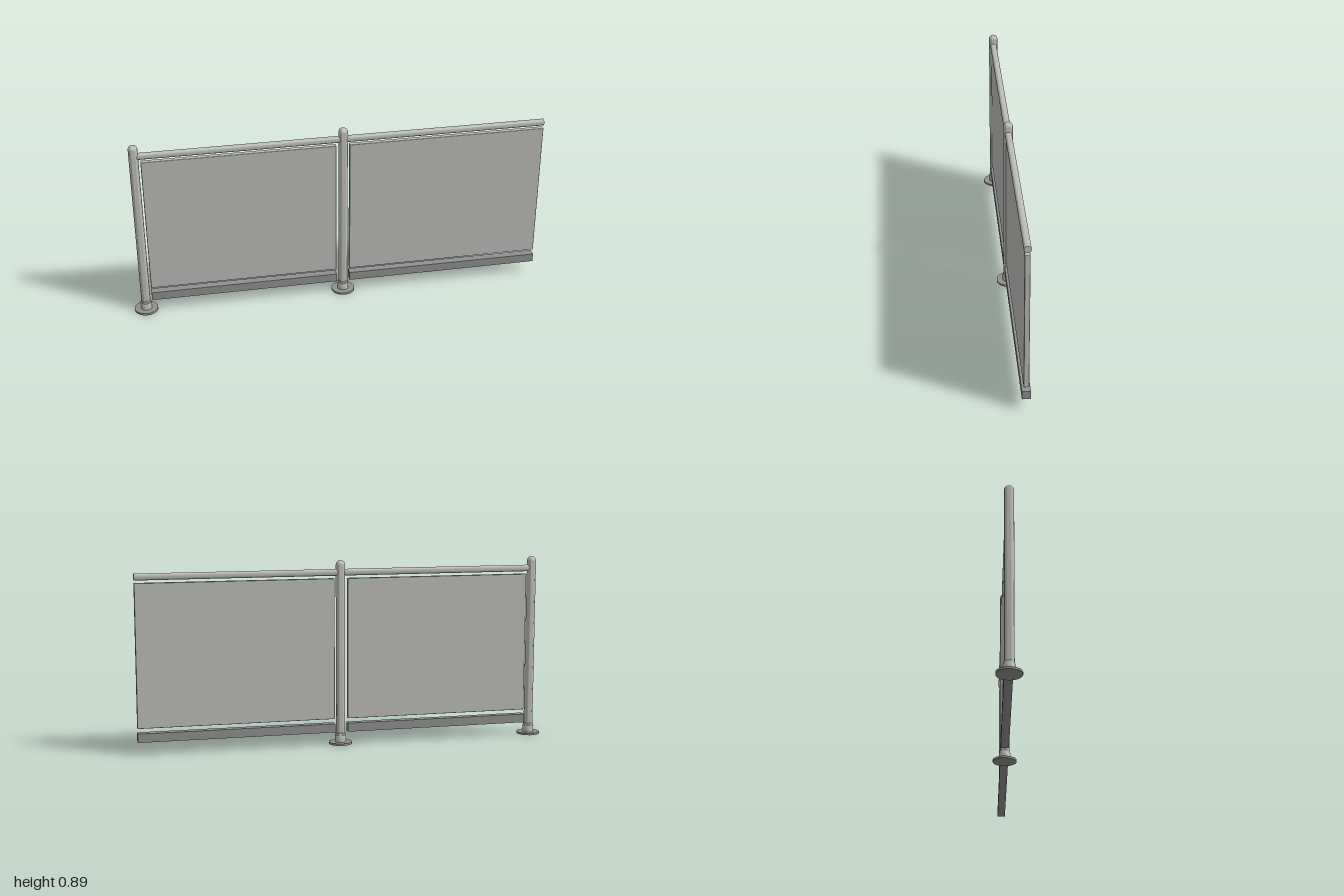
import * as THREE from 'three';
import { RoundedBoxGeometry } from 'three/addons/geometries/RoundedBoxGeometry.js';
import { toCreasedNormals } from 'three/addons/utils/BufferGeometryUtils.js';

export function createModel() {
  const model = new THREE.Group();
  model.name = 'railing';
  const material = (name, color) => new THREE.MeshStandardMaterial({ name, color });
  const steel = material('light steel', 0xbbbbb7);
  const panelGrey = material('panel grey', 0xbbbbb8);
  const darkGrey = material('dark grey', 0x8f8f90);

  const add = (parent, name, geometry, mat, x, y, z = 0) => {
    const mesh = new THREE.Mesh(geometry, mat);
    mesh.name = name;
    mesh.position.set(x, y, z);
    parent.add(mesh);
    return mesh;
  };
  const lathe = (points) => toCreasedNormals(
    new THREE.LatheGeometry(points.map(([r, y]) => new THREE.Vector2(r, y)), 32), 0.6);

  // Round post with a domed top
  const postRadius = 0.022, postTop = 0.89;
  const postProfile = [[0, 0.01], [postRadius, 0.01]];
  for (let i = 0; i <= 8; i++) {
    const a = (i / 8) * Math.PI / 2;
    postProfile.push([i === 8 ? 0 : postRadius * Math.cos(a), postTop - postRadius + postRadius * Math.sin(a)]);
  }
  const postGeometry = lathe(postProfile);

  // Stepped collar around the foot of the post
  const collarGeometry = lathe([
    [0, 0.009], [0.027, 0.009], [0.027, 0.042], [0.026, 0.044], [0.0235, 0.045],
    [0.0235, 0.054], [0.0215, 0.056],
  ]);
  const flangeGeometry = toCreasedNormals(new THREE.CylinderGeometry(0.056, 0.056, 0.01, 40), 0.6);

  const postXs = [-0.944, 0.026];
  for (const x of postXs) {
    const assembly = new THREE.Group();
    assembly.name = 'postAssembly';
    assembly.position.x = x;
    add(assembly, 'post', postGeometry, steel, 0, 0);
    add(assembly, 'collar', collarGeometry, steel, 0, 0);
    add(assembly, 'baseFlange', flangeGeometry, darkGrey, 0, 0.005);
    model.add(assembly);
  }

  // One bay per post: handrail, infill panel and kick bar
  const bays = [
    { rail: [-0.944, 0.026], panel: [-0.914, -0.008] },
    { rail: [0.026, 1], panel: [0.056, 1] },
  ];
  for (const { rail, panel } of bays) {
    const bay = new THREE.Group();
    bay.name = 'bay';
    const railGeometry = toCreasedNormals(
      new THREE.CylinderGeometry(0.016, 0.016, rail[1] - rail[0], 24), 0.6);
    railGeometry.rotateZ(Math.PI / 2);
    add(bay, 'handrail', railGeometry, steel, (rail[0] + rail[1]) / 2, 0.832);

    const width = panel[1] - panel[0], middle = (panel[0] + panel[1]) / 2;
    add(bay, 'infillPanel', new RoundedBoxGeometry(width, 0.68, 0.024, 2, 0.003), panelGrey, middle, 0.464);
    add(bay, 'kickBar', new THREE.BoxGeometry(width, 0.042, 0.039), darkGrey, middle, 0.081);
    model.add(bay);
  }
  return model;
}
